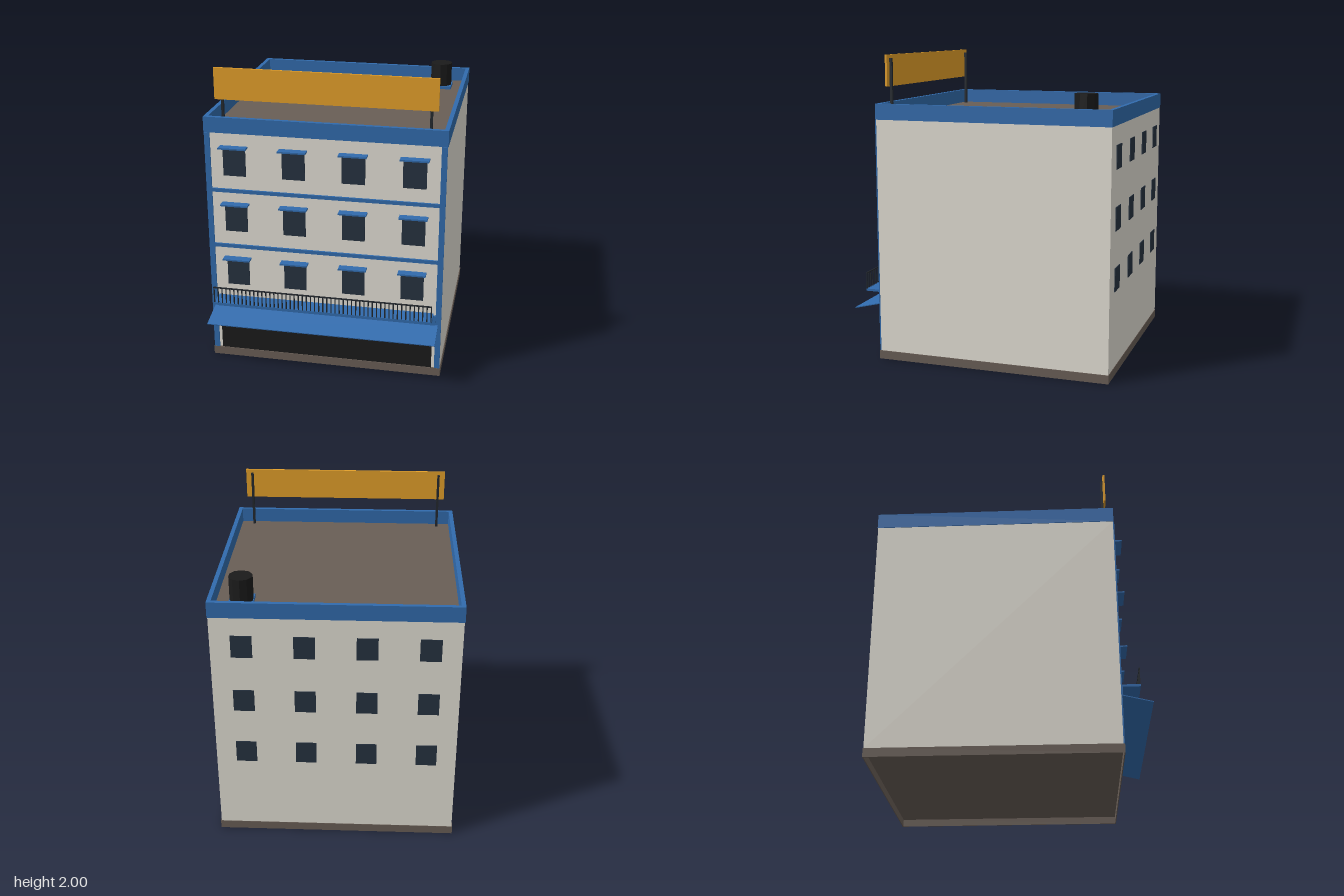
import * as THREE from 'three';

export function createModel() {
  const model = new THREE.Group();
  model.name = 'building';

  const mat = (name, color) => {
    const m = new THREE.MeshStandardMaterial({ color });
    m.name = name;
    return m;
  };
  const wall = mat('wall plaster', 0xe3dfd5);
  const blue = mat('blue trim', 0x316bad);
  const brown = mat('brown concrete', 0x695e56);
  const black = mat('black', 0x1b1b1b);
  const glass = mat('window glass', 0x263240);
  const metal = mat('dark metal', 0x23282e);
  const orange = mat('sign orange', 0xe4a02a);
  const grey = mat('shutter grey', 0x8a8e98);

  const group = (name) => {
    const g = new THREE.Group();
    g.name = name;
    model.add(g);
    return g;
  };
  // Box given by its limits on each axis
  const box = (name, material, [x0, x1], [y0, y1], [z0, z1], parent = model) => {
    const mesh = new THREE.Mesh(new THREE.BoxGeometry(x1 - x0, y1 - y0, z1 - z0), material);
    mesh.position.set((x0 + x1) / 2, (y0 + y1) / 2, (z0 + z1) / 2);
    mesh.name = name;
    parent.add(mesh);
  };
  // Rectangular ring standing between two heights
  const rect = (S, x, z0, z1) => {
    const s = new S();
    s.moveTo(-x, -z1);
    s.lineTo(x, -z1);
    s.lineTo(x, -z0);
    s.lineTo(-x, -z0);
    s.closePath();
    return s;
  };
  const ring = (name, material, x, [z0, z1], t, [y0, y1]) => {
    const shape = rect(THREE.Shape, x, z0, z1);
    shape.holes.push(rect(THREE.Path, x - t, z0 + t, z1 - t));
    const geometry = new THREE.ExtrudeGeometry(shape, { depth: y1 - y0, bevelEnabled: false });
    const mesh = new THREE.Mesh(geometry.rotateX(-Math.PI / 2), material);
    mesh.position.y = y0;
    mesh.name = name;
    model.add(mesh);
  };

  const FRONT = 0.676, BACK = -0.865;

  // Main block, hollow plinth with raised floor, roof and parapet
  ring('plinth', brown, 0.773, [BACK - 0.003, 0.685], 0.006, [0, 0.056]);
  box('floor', brown, [-0.767, 0.767], [0.05, 0.056], [BACK + 0.002, 0.679]);
  box('walls', wall, [-0.768, 0.768], [0.056, 1.592], [BACK, FRONT]);
  box('roof', brown, [-0.75, 0.75], [1.59, 1.597], [-0.85, 0.66]);
  ring('parapet', blue, 0.772, [BACK - 0.003, 0.68], 0.027, [1.59, 1.692]);

  // Facade trim
  const trim = group('facadeTrim');
  for (const s of [-1, 1]) {
    const x = s * 0.751;
    box('cornerPilaster', blue, [x - 0.018, x + 0.018], [0.056, 1.59], [FRONT, 0.684], trim);
  }
  for (const y of [0.82, 1.206]) {
    box('floorBand', blue, [-0.733, 0.733], [y - 0.012, y + 0.012], [FRONT, 0.688], trim);
  }
  box('firstFloorBand', blue, [-0.735, 0.735], [0.374, 0.441], [FRONT, 0.69], trim);

  // Windows in three rows of four, front with canopies and back without
  const windows = group('windows');
  for (let row = 0; row < 3; row++) {
    for (let col = 0; col < 4; col++) {
      const x = (col - 1.5) * 0.384 - 0.002;
      const y = 0.628 + row * 0.3835;
      box('frontWindow', glass, [x - 0.074, x + 0.074], [y - 0.0875, y + 0.0875], [FRONT, FRONT + 0.004], windows);
      box('windowCanopy', blue, [x - 0.09, x + 0.09], [y + 0.104, y + 0.114], [FRONT, 0.734], windows);
      box('backWindow', glass, [x - 0.066, x + 0.066], [y - 0.075, y + 0.075], [BACK - 0.005, BACK], windows);
    }
  }

  // Shop front with a partly lowered shutter
  const shop = group('shopFront');
  box('shopOpening', black, [-0.713, 0.713], [0.056, 0.345], [FRONT, FRONT + 0.004], shop);
  for (let i = 0; i < 4; i++) {
    const y = 0.223 + i * 0.027;
    box('shutterSlat', grey, [-0.705, 0.705], [y, y + 0.021], [FRONT + 0.004, FRONT + 0.009], shop);
  }

  // Sloping awning
  const inner = new THREE.Vector2(FRONT, 0.374), outer = new THREE.Vector2(0.87, 0.326);
  const awning = new THREE.Mesh(new THREE.BoxGeometry(1.498, 0.006, inner.distanceTo(outer)), blue);
  awning.position.set(0, (inner.y + outer.y) / 2, (inner.x + outer.x) / 2);
  awning.rotation.x = Math.atan2(inner.y - outer.y, outer.x - inner.x);
  awning.name = 'awning';
  model.add(awning);

  // Balcony slab and railing
  const balcony = group('balcony');
  box('balconySlab', blue, [-0.719, 0.719], [0.44, 0.455], [FRONT, 0.8], balcony);
  box('topRail', metal, [-0.719, 0.719], [0.558, 0.566], [0.793, 0.8], balcony);
  const bars = 54;
  for (let i = 0; i < bars; i++) {
    const x = -0.715 + (1.43 * i) / (bars - 1);
    box('railingBar', metal, [x - 0.0035, x + 0.0035], [0.455, 0.56], [0.794, 0.799], balcony);
  }

  // Blank roof sign on two posts
  const sign = group('roofSign');
  box('signBoard', orange, [-0.703, 0.703], [1.797, 2], [0.624, 0.638], sign);
  for (const x of [-0.658, 0.658]) {
    box('signPost', metal, [x - 0.008, x + 0.008], [1.597, 1.977], [0.607, 0.624], sign);
  }

  // Water tank on its pad
  const tank = group('waterTank');
  box('tankPad', blue, [0.51, 0.663], [1.597, 1.618], [-0.736, -0.584], tank);
  const drumGeometry = new THREE.CylinderGeometry(0.075, 0.075, 0.157, 10).toNonIndexed();
  drumGeometry.computeVertexNormals();
  const drum = new THREE.Mesh(drumGeometry, black);
  drum.position.set(0.586, 1.6965, -0.659);
  drum.name = 'tankDrum';
  tank.add(drum);

  return model;
}
